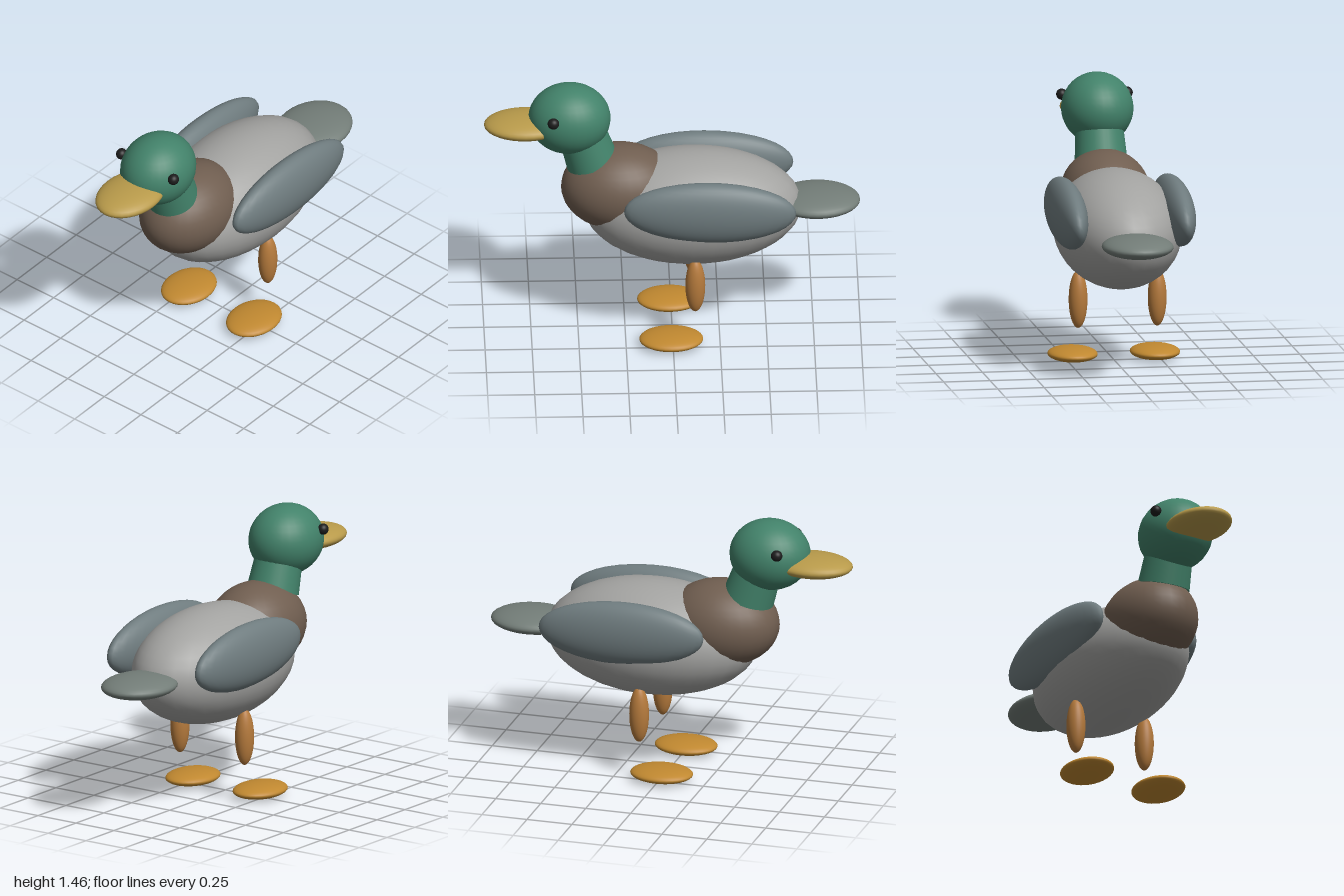
import * as THREE from 'three';

const paint = (color) => new THREE.MeshStandardMaterial({ color });

const MAT = {
  body: paint(0xa3a3a1),
  breast: paint(0x705e50),
  head: paint(0x42826a),
  bill: paint(0xb89a4a),
  wing: paint(0x6f7c7f),
  tail: paint(0x737d78),
  leg: paint(0xb57a3c),
  foot: paint(0xc08830),
  eye: paint(0x1c1c1c),
};

// Smooth ellipsoid from its centre and three radii
function ellipsoid(name, material, centre, radii) {
  const geometry = new THREE.SphereGeometry(1, 32, 20);
  geometry.scale(...radii);
  const mesh = new THREE.Mesh(geometry, material);
  mesh.name = name;
  mesh.position.set(...centre);
  return mesh;
}

export function createModel() {
  const duck = new THREE.Group();
  duck.name = 'duck';

  // Trunk and tail
  duck.add(
    ellipsoid('body', MAT.body, [0, 0.73, -0.11], [0.335, 0.313, 0.58]),
    ellipsoid('breast', MAT.breast, [0, 0.85, 0.28], [0.24, 0.235, 0.31]),
    ellipsoid('tail', MAT.tail, [0, 0.75, -0.77], [0.19, 0.059, 0.23]),
  );

  // Neck leaning forward into the head
  const neckLength = 0.25;
  const neckGeometry = new THREE.CylinderGeometry(0.122, 0.14, neckLength, 32);
  neckGeometry.translate(0, neckLength / 2, 0);
  const neck = new THREE.Mesh(neckGeometry, MAT.head);
  neck.name = 'neck';
  neck.position.set(0, 1.005, 0.425);
  neck.rotation.x = 0.31;
  duck.add(neck);

  // Head and bill
  duck.add(
    ellipsoid('head', MAT.head, [0, 1.263, 0.545], [0.192, 0.192, 0.219]),
    ellipsoid('bill', MAT.bill, [0, 1.228, 0.78], [0.16, 0.057, 0.22]),
  );

  // Paired parts
  for (const [side, s] of [['left', 1], ['right', -1]]) {
    const wing = ellipsoid(side + 'Wing', MAT.wing, [s * 0.29, 0.836, -0.195], [0.093, 0.174, 0.458]);
    wing.rotation.x = -0.03;
    duck.add(
      wing,
      ellipsoid(side + 'Eye', MAT.eye, [s * 0.177, 1.325, 0.635], [0.029, 0.03, 0.031]),
      ellipsoid(side + 'Leg', MAT.leg, [s * 0.213, 0.355, -0.118], [0.05, 0.155, 0.053]),
      ellipsoid(side + 'Foot', MAT.foot, [s * 0.222, 0.039, 0.01], [0.133, 0.039, 0.17]),
    );
  }

  return duck;
}
